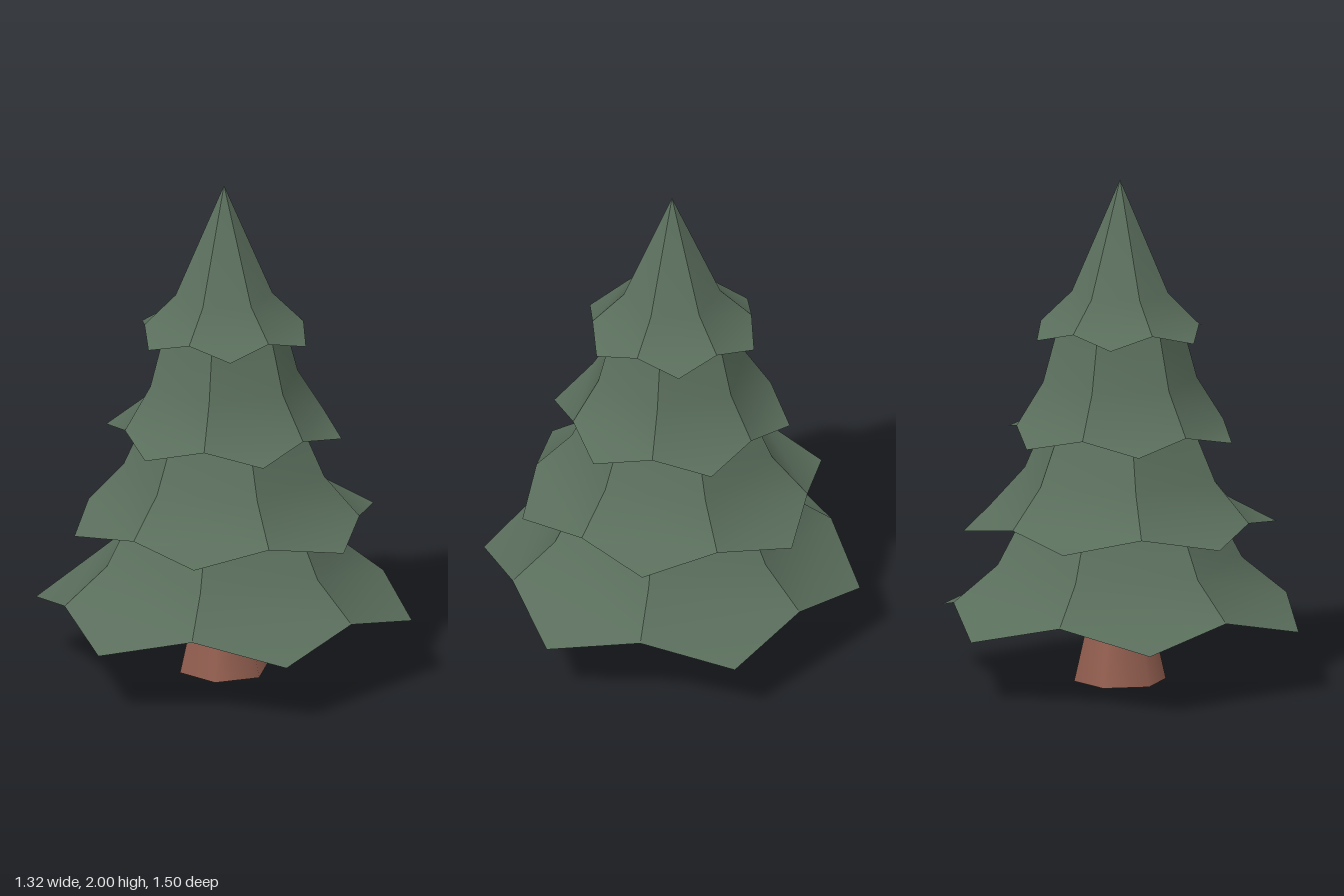
import * as THREE from 'three';

const SIDES = 6;
const STEP = (Math.PI * 2) / SIDES;

// One tier of branches: six drooping petals, each a strip through the rings
// [radius, y] (bottom to top) ending in a pointed tip, plus a flat underside.
function tierGeometry({ turn, rings, tip }) {
  const pos = [], index = [];
  const add = (r, y, a) => pos.push(r * Math.cos(a), y, r * Math.sin(a)) / 3 - 1;

  for (let i = 0; i < SIDES; i++) {
    const a0 = turn + i * STEP, a1 = a0 + STEP;
    // each petal has its own vertices, so the ridges between petals stay sharp
    const t = add(tip[0], tip[1], a0 + STEP / 2);
    const pairs = rings.map(([r, y]) => [add(r, y, a0), add(r, y, a1)]);
    index.push(t, pairs[0][0], pairs[0][1]);
    for (let k = 0; k + 1 < pairs.length; k++) {
      const [r0, l0] = pairs[k], [r1, l1] = pairs[k + 1];
      index.push(r0, l1, l0);
      if (rings[k + 1][0] > 0) index.push(r0, r1, l1);
    }
  }

  // underside
  const [r, y] = rings[0];
  const centre = add(0, y, 0);
  const rim = [];
  for (let i = 0; i < SIDES; i++) rim.push(add(r, y, turn + i * STEP));
  rim.forEach((v, i) => index.push(centre, v, rim[(i + 1) % SIDES]));

  const geometry = new THREE.BufferGeometry();
  geometry.setAttribute('position', new THREE.Float32BufferAttribute(pos, 3));
  geometry.setIndex(index);
  geometry.computeVertexNormals();
  return geometry;
}

export function createModel() {
  const tree = new THREE.Group();
  tree.name = 'pineTree';

  const needles = new THREE.MeshStandardMaterial({ color: 0x5a6e5c, side: THREE.DoubleSide });
  const bark = new THREE.MeshStandardMaterial({ color: 0x935f50 });

  // trunk
  const trunk = new THREE.Mesh(new THREE.CylinderGeometry(0.105, 0.182, 0.34, SIDES), bark);
  trunk.name = 'trunk';
  trunk.position.y = 0.17;
  trunk.rotation.y = STEP / 2;
  tree.add(trunk);

  // branch tiers, bottom to top
  const deg = Math.PI / 180;
  const tiers = [
    { name: 'bottomBranches', turn: 0, tip: [0.75, 0.245], rings: [[0.66, 0.33], [0.485, 0.475], [0.35, 0.73]] },
    { name: 'lowerBranches', turn: 30 * deg, tip: [0.62, 0.615], rings: [[0.54, 0.665], [0.4, 0.82], [0.285, 1.08]] },
    { name: 'upperBranches', turn: 0, tip: [0.47, 0.98], rings: [[0.41, 1.03], [0.305, 1.2], [0.235, 1.46]] },
    { name: 'topBranches', turn: 15 * deg, tip: [0.357, 1.385], rings: [[0.312, 1.43], [0.19, 1.55], [0, 2]] },
  ];
  for (const tier of tiers) {
    const mesh = new THREE.Mesh(tierGeometry(tier), needles);
    mesh.name = tier.name;
    tree.add(mesh);
  }

  return tree;
}
